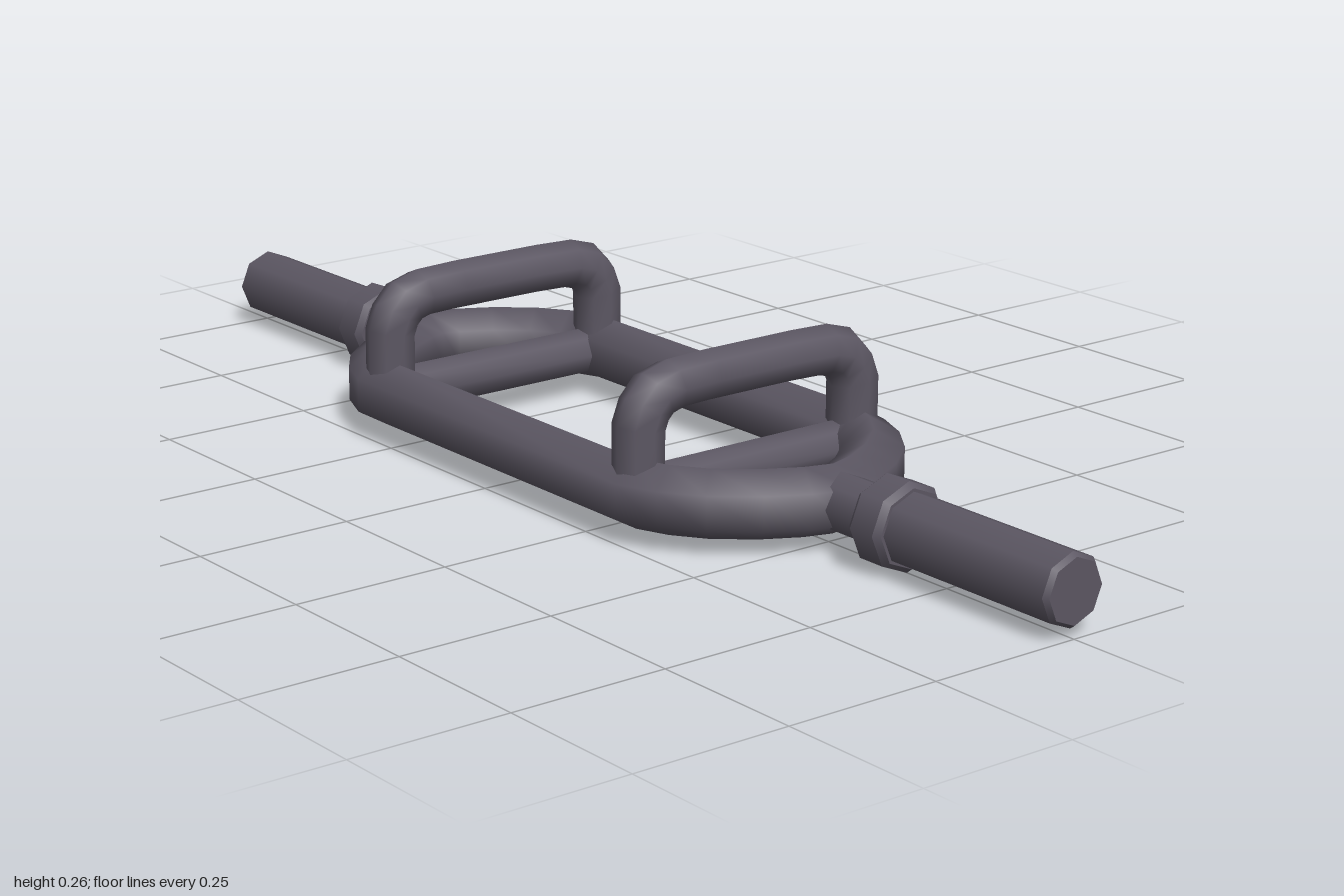
import * as THREE from 'three';

const AXIS_Y = 0.07;

// Sweeps a regular polygon along a planar path with mitred joints.
// n is the normal of the path's plane; one polygon corner points along it.
function sweep(points, n, radius, sides, closed) {
  const pos = [], idx = [], count = points.length;
  points.forEach((p, i) => {
    const prev = closed ? points[(i + count - 1) % count] : points[Math.max(i - 1, 0)];
    const next = closed ? points[(i + 1) % count] : points[Math.min(i + 1, count - 1)];
    const a = p.clone().sub(prev).normalize(), b = next.clone().sub(p).normalize();
    const t = a.clone().add(b).normalize();
    const mitre = 1 / Math.max(t.dot(a.lengthSq() ? a : b), 0.6);
    const side = t.clone().cross(n).multiplyScalar(mitre);
    for (let j = 0; j < sides; j++) {
      const ang = (j / sides) * Math.PI * 2;
      const v = p.clone().addScaledVector(n, Math.cos(ang) * radius).addScaledVector(side, Math.sin(ang) * radius);
      pos.push(v.x, v.y, v.z);
    }
  });
  for (let i = 0; i < (closed ? count : count - 1); i++) {
    for (let j = 0; j < sides; j++) {
      const k = (j + 1) % sides, r0 = i * sides, r1 = ((i + 1) % count) * sides;
      idx.push(r0 + j, r1 + k, r1 + j, r0 + j, r0 + k, r1 + k);
    }
  }
  // wind outward: check the first face against its ring centre
  const V = (q) => new THREE.Vector3().fromArray(pos, q * 3);
  const [A, B, C] = [V(idx[0]), V(idx[1]), V(idx[2])];
  const face = B.clone().sub(A).cross(C.clone().sub(A));
  if (face.dot(A.clone().add(V(1)).multiplyScalar(0.5).sub(points[0])) < 0) idx.reverse();
  const g = new THREE.BufferGeometry();
  g.setAttribute('position', new THREE.Float32BufferAttribute(pos, 3));
  g.setIndex(idx);
  g.computeVertexNormals();
  return g;
}

export function createModel() {
  const model = new THREE.Group();
  const steel = new THREE.MeshStandardMaterial({ color: 0x5c5763 });
  steel.name = 'darkSteel';

  const add = (geometry, name) => {
    const mesh = new THREE.Mesh(geometry, steel);
    mesh.name = name;
    model.add(mesh);
    return mesh;
  };

  // Eight-sided bar along x, from x0 to x1
  const bar = (x0, x1, r0, r1, name) => {
    const g = new THREE.CylinderGeometry(r1, r0, x1 - x0, 8);
    g.rotateZ(-Math.PI / 2);
    add(g, name).position.set((x0 + x1) / 2, AXIS_Y, 0);
  };

  // Main frame: a closed hexagonal tube, curved in towards each end
  const quarter = [[0.32, 0.211], [0.37, 0.191], [0.42, 0.155], [0.465, 0.1], [0.495, 0.045], [0.509, 0]];
  const outline = [
    ...quarter,
    ...quarter.slice(0, -1).reverse().map(([x, z]) => [x, -z]),
    ...quarter.map(([x, z]) => [-x, -z]),
    ...quarter.slice(0, -1).reverse().map(([x, z]) => [-x, z]),
  ];
  const framePath = outline.map(([x, z]) => new THREE.Vector3(x, AXIS_Y, z));
  add(sweep(framePath, new THREE.Vector3(0, 1, 0), 0.053, 6, true), 'frame');

  // Raised handles, each with a low crossbar beneath
  const half = [[0.204, 0.07], [0.204, 0.168], [0.194, 0.194], [0.176, 0.213], [0.145, 0.222], [0.08, 0.224]];
  const arch = [...half, ...half.slice().reverse().map(([z, y]) => [-z, y])];
  const alongX = new THREE.Vector3(1, 0, 0);
  for (const s of [1, -1]) {
    const side = s > 0 ? 'left' : 'right';
    const x = s * 0.315;
    add(sweep(arch.map(([z, y]) => new THREE.Vector3(x, y, z)), alongX, 0.039, 8, false), side + 'Handle');
    const cross = [0.21, -0.21].map((z) => new THREE.Vector3(x, AXIS_Y, z));
    add(sweep(cross, alongX, 0.038, 8, false), side + 'Crossbar');
  }

  // Neck, collar and loading sleeve at each end
  const span = (s, a, b, ra, rb, name) =>
    s > 0 ? bar(a, b, ra, rb, 'left' + name) : bar(-b, -a, rb, ra, 'right' + name);
  for (const s of [1, -1]) {
    span(s, 0.5, 0.62, 0.045, 0.045, 'Neck');
    span(s, 0.612, 0.622, 0.06, 0.068, 'CollarInnerBevel');
    span(s, 0.622, 0.668, 0.068, 0.068, 'Collar');
    span(s, 0.668, 0.678, 0.068, 0.06, 'CollarOuterBevel');
    span(s, 0.67, 0.992, 0.055, 0.055, 'Sleeve');
    span(s, 0.992, 1, 0.055, 0.049, 'SleeveTip');
  }
  return model;
}
